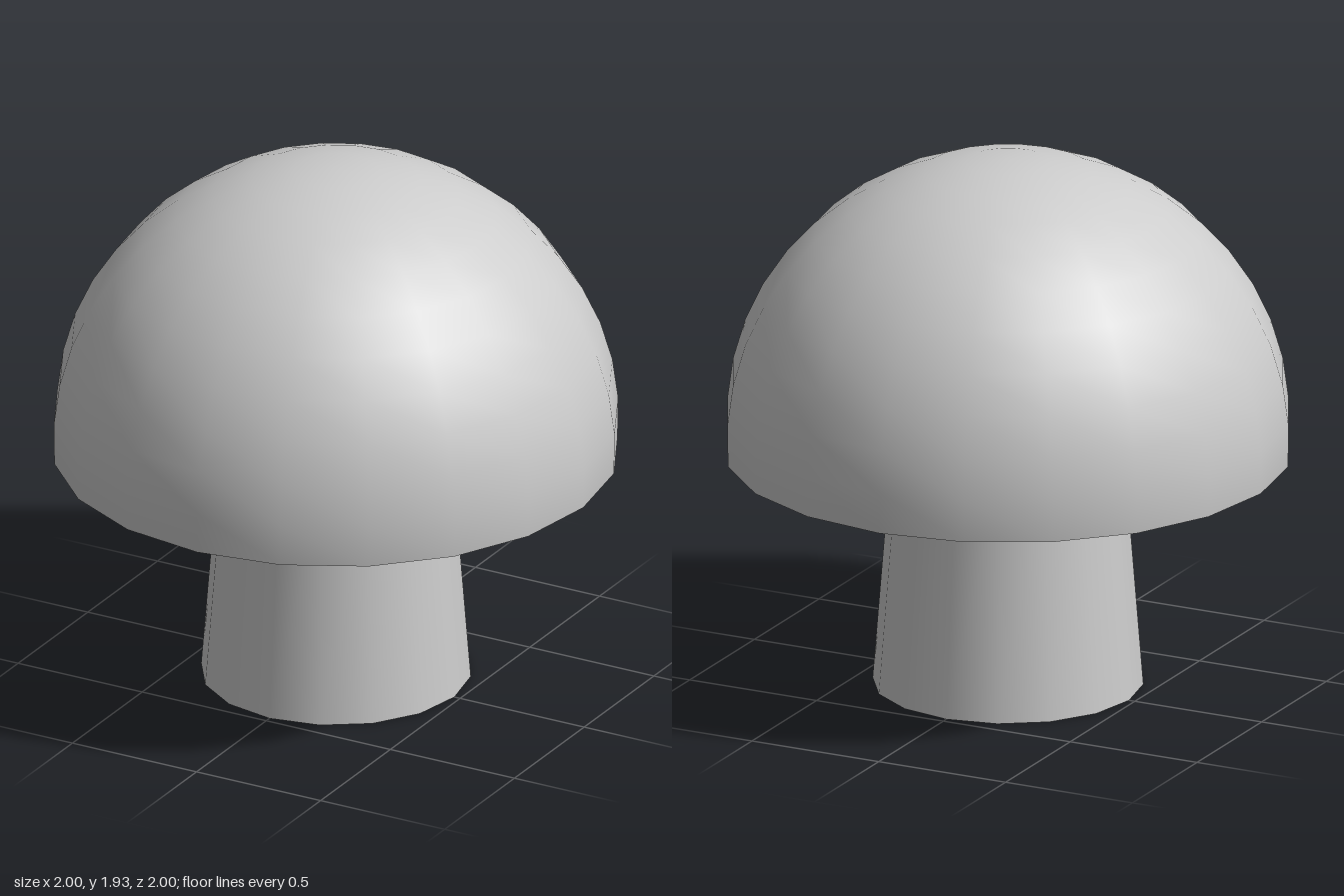
import * as THREE from 'three';

export function createModel() {
  const grey = new THREE.MeshStandardMaterial({ color: 0xcccccc });
  grey.name = 'light grey';
  const group = new THREE.Group();
  group.name = 'mushroom';

  const add = (name, geometry, y) => {
    const mesh = new THREE.Mesh(geometry, grey);
    mesh.name = name;
    mesh.position.y = y;
    group.add(mesh);
    return mesh;
  };

  // Tapered stem, its top tucked just inside the cap
  const stemHeight = 0.87;
  add('stem', new THREE.CylinderGeometry(0.408, 0.477, stemHeight, 16), stemHeight / 2);

  // Dome running a little past its widest ring
  const radius = 1;
  const sweep = 1.661;
  const centreY = 0.935;
  add('capDome', new THREE.SphereGeometry(radius, 20, 11, 0, Math.PI * 2, 0, sweep), centreY);

  // Flat underside closing the dome
  const underside = new THREE.CircleGeometry(radius * Math.sin(sweep), 20);
  underside.rotateX(Math.PI / 2);
  add('capUnderside', underside, centreY + radius * Math.cos(sweep));

  return group;
}
